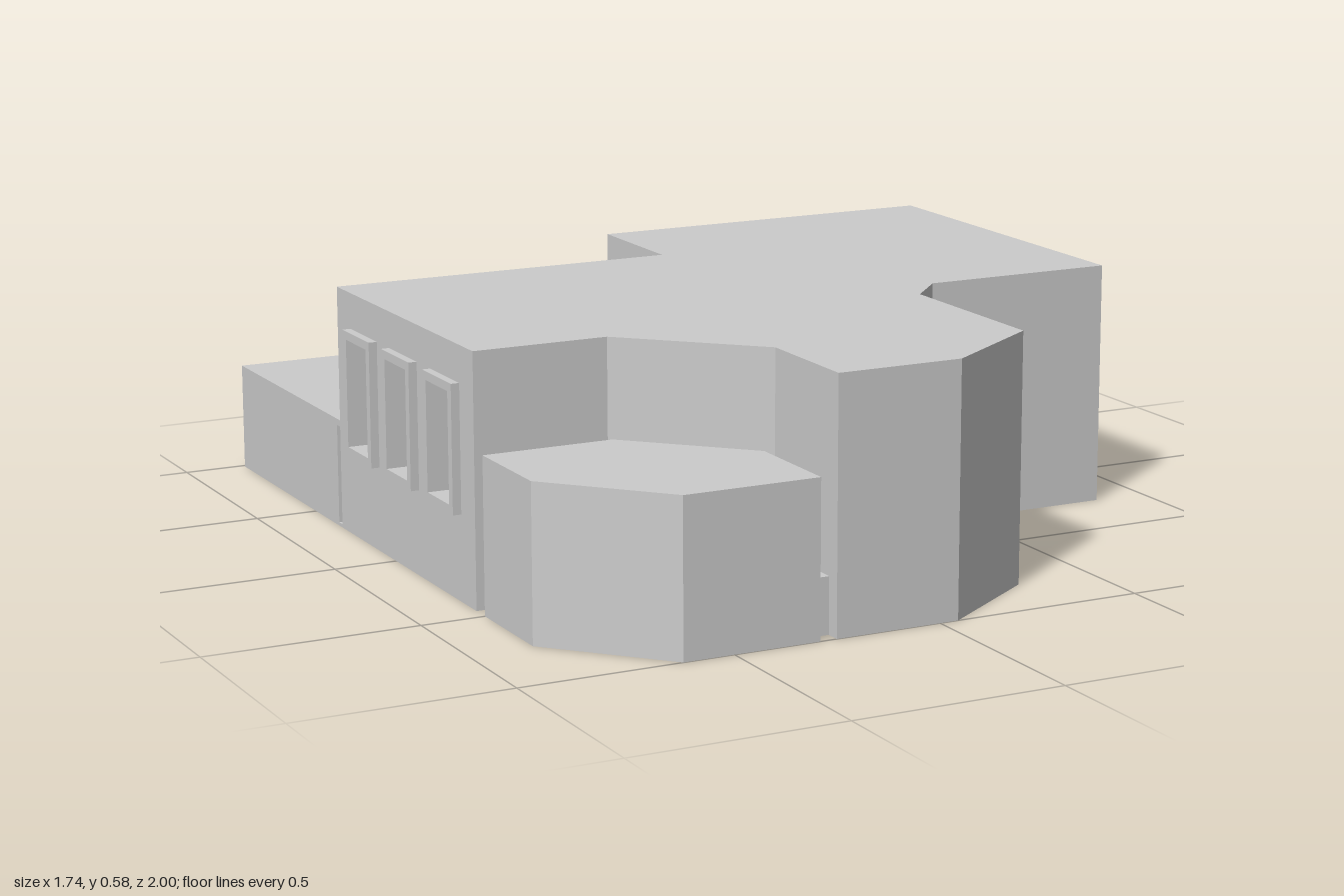
import * as THREE from 'three';

const material = new THREE.MeshStandardMaterial({ color: 0xcccccc, flatShading: true });
const T = 0.03; // wall thickness

const rect = (C, x0, y0, x1, y1) =>
  new C([[x0, y0], [x1, y0], [x1, y1], [x0, y1]].map(p => new THREE.Vector2(...p)));

export function createModel() {
  const model = new THREE.Group();

  function add(name, geometry) {
    const mesh = new THREE.Mesh(geometry, material);
    mesh.name = name;
    model.add(mesh);
    return mesh;
  }

  // Extrude an [x, z] floor plan from y0 up to y1
  function prism(name, plan, y0, y1) {
    const shape = new THREE.Shape(plan.map(([x, z]) => new THREE.Vector2(x, -z)));
    const g = new THREE.ExtrudeGeometry(shape, { depth: y1 - y0, bevelEnabled: false });
    return add(name, g.rotateX(-Math.PI / 2).translate(0, y0, 0));
  }

  function box(name, x0, x1, y0, y1, z0, z1) {
    const g = new THREE.BoxGeometry(x1 - x0, y1 - y0, z1 - z0);
    return add(name, g.translate((x0 + x1) / 2, (y0 + y1) / 2, (z0 + z1) / 2));
  }

  // Extrude a [z, y] shape towards -x, starting at x
  function sidePanel(name, shape, x, depth) {
    const g = new THREE.ExtrudeGeometry(shape, { depth, bevelEnabled: false });
    return add(name, g.rotateY(-Math.PI / 2).translate(x, 0, 0));
  }

  // Tall main building: floor, walls open to the window side, roof
  const outer = [
    [-0.85, -0.33], [-0.005, -0.33], [-0.005, -0.635], [0.87, -0.635], [0.87, 0.275],
    [0.40, 0.275], [0.31, 0.37], [0.31, 0.82], [0.045, 1], [-0.255, 1],
    [-0.255, 0.72], [-0.53, 0.455], [-0.85, 0.455],
  ];
  const inner = [
    [-0.85, 0.425], [-0.52, 0.425], [-0.225, 0.705], [-0.225, 0.97], [0.035, 0.97],
    [0.28, 0.805], [0.28, 0.36], [0.39, 0.245], [0.84, 0.245], [0.84, -0.605],
    [0.025, -0.605], [0.025, -0.30], [-0.85, -0.30],
  ];
  const height = 0.58, floor = 0.008;
  prism('mainFloor', outer, 0, floor);
  prism('mainWalls', [...outer, ...inner], floor, height - T);
  prism('mainRoof', outer, height - T, height);

  // Window wall with three projecting frames
  const windowWall = rect(THREE.Shape, -0.30, floor, 0.425, height - T);
  for (const z of [-0.17, 0.063, 0.30]) {
    const opening = [z - 0.06, 0.22, z + 0.06, 0.475];
    windowWall.holes.push(rect(THREE.Path, ...opening));
    const frame = rect(THREE.Shape, z - 0.08, 0.20, z + 0.08, 0.495);
    frame.holes.push(rect(THREE.Path, ...opening));
    sidePanel('windowFrame', frame, -0.85, 0.02);
  }
  sidePanel('windowWall', windowWall, -0.85 + T, T);

  // Low rear building: L-shaped floor and roof
  const rearPlan = [
    [-0.85, -0.99], [-0.02, -0.99], [0, -1], [0.87, -1],
    [0.87, -0.635], [-0.005, -0.635], [-0.005, -0.33], [-0.85, -0.33],
  ];
  const rearHeight = 0.26, ceiling = 0.245;
  prism('rearFloor', rearPlan, 0, floor);
  prism('rearRoof', rearPlan, ceiling, rearHeight);

  // Two rear rooms, each with a doorway in its back wall
  const rooms = [
    { x0: -0.85, x1: -0.025, back: -0.99, front: -0.35, door: -0.565 },
    { x0: 0, x1: 0.87, back: -1, front: -0.652, door: 0.51 },
  ];
  for (const { x0, x1, back, front, door } of rooms) {
    const wall = new THREE.Shape([
      [x0, floor], [door - 0.03, floor], [door - 0.03, 0.11], [door + 0.03, 0.11],
      [door + 0.03, floor], [x1, floor], [x1, ceiling], [x0, ceiling],
    ].map(p => new THREE.Vector2(...p)));
    const g = new THREE.ExtrudeGeometry(wall, { depth: 0.02, bevelEnabled: false });
    add('rearDoorWall', g.translate(0, 0, back));
    for (const x of [x0, x1 - 0.02])
      box('rearSideWall', x, x + 0.02, floor, ceiling, back + 0.02, front);
    box('rearInnerWall', x0 + 0.02, x1 - 0.02, floor, ceiling, front - 0.02, front);
  }
  box('rearJointFiller', -0.025, 0, floor, ceiling, -0.96, -0.655);

  // Separate low annex and its link to the main building
  prism('annex', [
    [-0.85, 0.5], [-0.54, 0.5], [-0.295, 0.745], [-0.295, 1], [-0.62, 1], [-0.85, 0.75],
  ], 0, 0.36);
  box('annexPassage', -0.295, -0.255, 0, 0.13, 0.78, 0.965);

  // Passage across the gap to the rear building
  box('rearPassage', 0.40, 0.55, floor, 0.13, -0.652, -0.635);

  return model;
}
